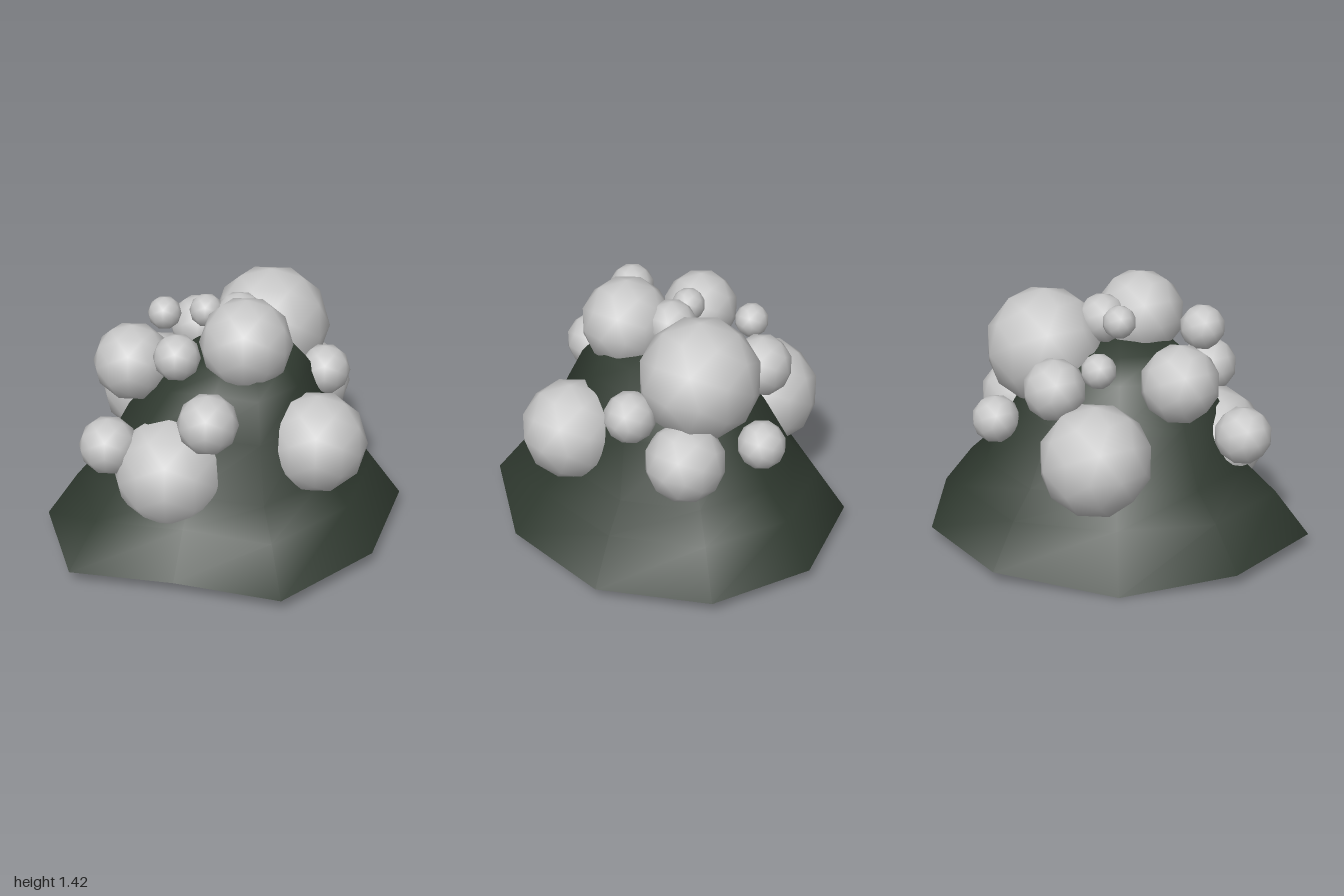
import * as THREE from 'three';

export function createModel() {
  const model = new THREE.Group();
  const moundMat = new THREE.MeshStandardMaterial({ color: 0x303a30, side: THREE.DoubleSide });
  moundMat.name = 'dark green';
  const ballMat = new THREE.MeshStandardMaterial({ color: 0xc8c8c8 });
  ballMat.name = 'light grey';

  // Irregular ten-sided rim of the mound: x, z
  const rim = [
    [0.23, -1.0], [0.75, -0.71], [0.98, -0.13], [0.82, 0.52], [0.35, 1.0],
    [-0.22, 0.88], [-0.78, 0.82], [-0.99, 0.24], [-0.8, -0.36], [-0.38, -0.89],
  ];
  // Rings up the mound: scale, x offset, z offset, height
  const rings = [
    [1, 0, 0, 0.075], [0.83, 0, 0, 0.31], [0.69, 0, 0, 0.45],
    [0.55, 0.02, 0.03, 0.75], [0.42, 0.05, 0.06, 0.95], [0.31, 0.07, 0.08, 1.06],
  ];
  const n = rim.length;
  const positions = [];
  const index = [];
  rings.forEach(([s, ox, oz, y], r) => rim.forEach(([x, z], i) => {
    const lowCorner = r === 0 && i === 8; // one rim corner dips to the ground
    positions.push(x * s + ox, lowCorner ? 0 : y, z * s + oz);
  }));
  const apex = positions.length / 3;
  positions.push(0.06, 1.11, 0.08);
  for (let r = 0; r < rings.length; r++) {
    for (let i = 0; i < n; i++) {
      const a = r * n + i;
      const b = r * n + (i + 1) % n;
      if (r === rings.length - 1) index.push(a, apex, b);
      else index.push(a, a + n, b, b, a + n, b + n);
    }
  }
  const moundGeo = new THREE.BufferGeometry();
  moundGeo.setAttribute('position', new THREE.Float32BufferAttribute(positions, 3));
  moundGeo.setIndex(index);
  moundGeo.computeVertexNormals();
  const mound = new THREE.Mesh(moundGeo, moundMat);
  mound.name = 'mound';
  model.add(mound);

  // Balls embedded in the mound: x, y, z, radius
  const balls = [
    [0.22, 1.04, -0.295, 0.325], [0.115, 1.17, 0.235, 0.245],
    [-0.44, 0.63, -0.315, 0.3], [-0.27, 0.52, 0.48, 0.3],
    [0.5, 0.655, 0.345, 0.27], [0.455, 0.67, -0.355, 0.215],
    [-0.5, 1.0, 0.15, 0.21], [-0.19, 0.96, -0.43, 0.167],
    [-0.06, 0.865, 0.575, 0.16], [-0.595, 0.67, 0.49, 0.155],
    [0.53, 0.885, -0.06, 0.138], [0.065, 1.205, -0.02, 0.135],
    [0.14, 0.7, -0.632, 0.13], [-0.23, 1.175, 0.435, 0.123],
    [-0.37, 1.1, -0.26, 0.093], [-0.115, 1.24, -0.01, 0.09],
  ];
  const ballGeo = new THREE.IcosahedronGeometry(1.015, 1);
  const cluster = new THREE.Group();
  cluster.name = 'ballCluster';
  balls.forEach(([x, y, z, r], i) => {
    const ball = new THREE.Mesh(ballGeo, ballMat);
    ball.name = `ball${i + 1}`;
    ball.position.set(x, y, z);
    ball.scale.setScalar(r);
    cluster.add(ball);
  });
  model.add(cluster);
  return model;
}
